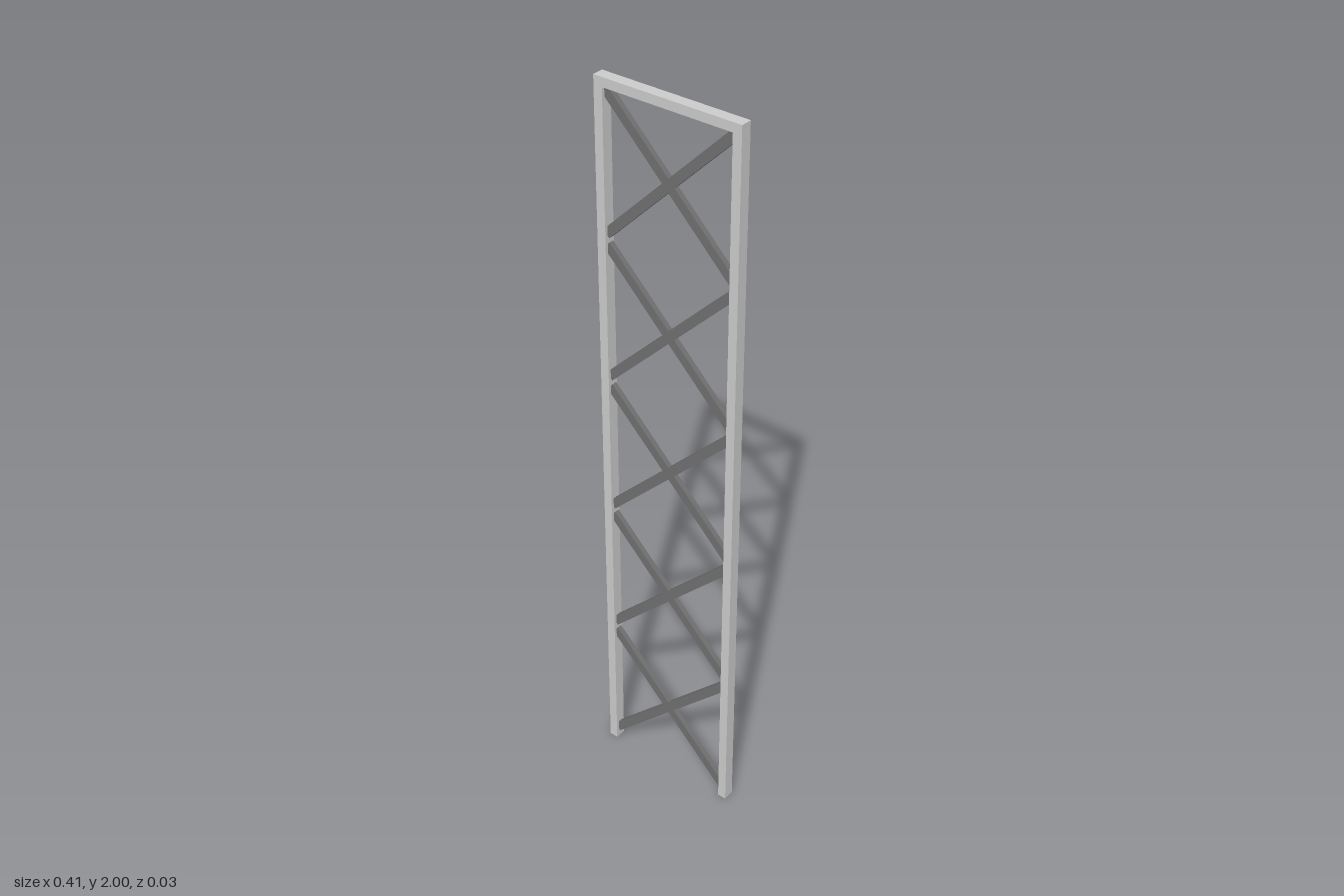
import * as THREE from 'three';

export function createModel() {
  const W = 0.405, H = 2, D = 0.03, T = 0.024;
  const frameMat = new THREE.MeshStandardMaterial({ color: 0xcccccc });
  const braceMat = new THREE.MeshStandardMaterial({ color: 0x707070 });
  const model = new THREE.Group();
  model.name = 'trussPanel';

  const bar = (name, w, h, d, x, y, mat, parent = model) => {
    const mesh = new THREE.Mesh(new THREE.BoxGeometry(w, h, d), mat);
    mesh.name = name;
    mesh.position.set(x, y, 0);
    parent.add(mesh);
    return mesh;
  };

  // Upright posts and top rail
  bar('leftPost', T, H, D, (W - T) / 2, H / 2, frameMat);
  bar('rightPost', T, H, D, -(W - T) / 2, H / 2, frameMat);
  bar('topRail', W - 2 * T, T, D, 0, H - T / 2, frameMat);

  // Five crossed pairs of diagonal braces, ends tucked into the posts
  const bays = 5, pitch = 0.394, firstCentre = 0.214;
  const length = 0.365 * Math.SQRT2;
  for (let i = 0; i < bays; i++) {
    const cross = new THREE.Group();
    cross.name = `crossBrace${i + 1}`;
    cross.position.y = firstCentre + i * pitch;
    for (const side of [1, -1]) {
      const name = side > 0 ? 'risingBrace' : 'fallingBrace';
      bar(name, length, 0.025, 0.014, 0, 0, braceMat, cross).rotation.z = side * Math.PI / 4;
    }
    model.add(cross);
  }
  return model;
}
